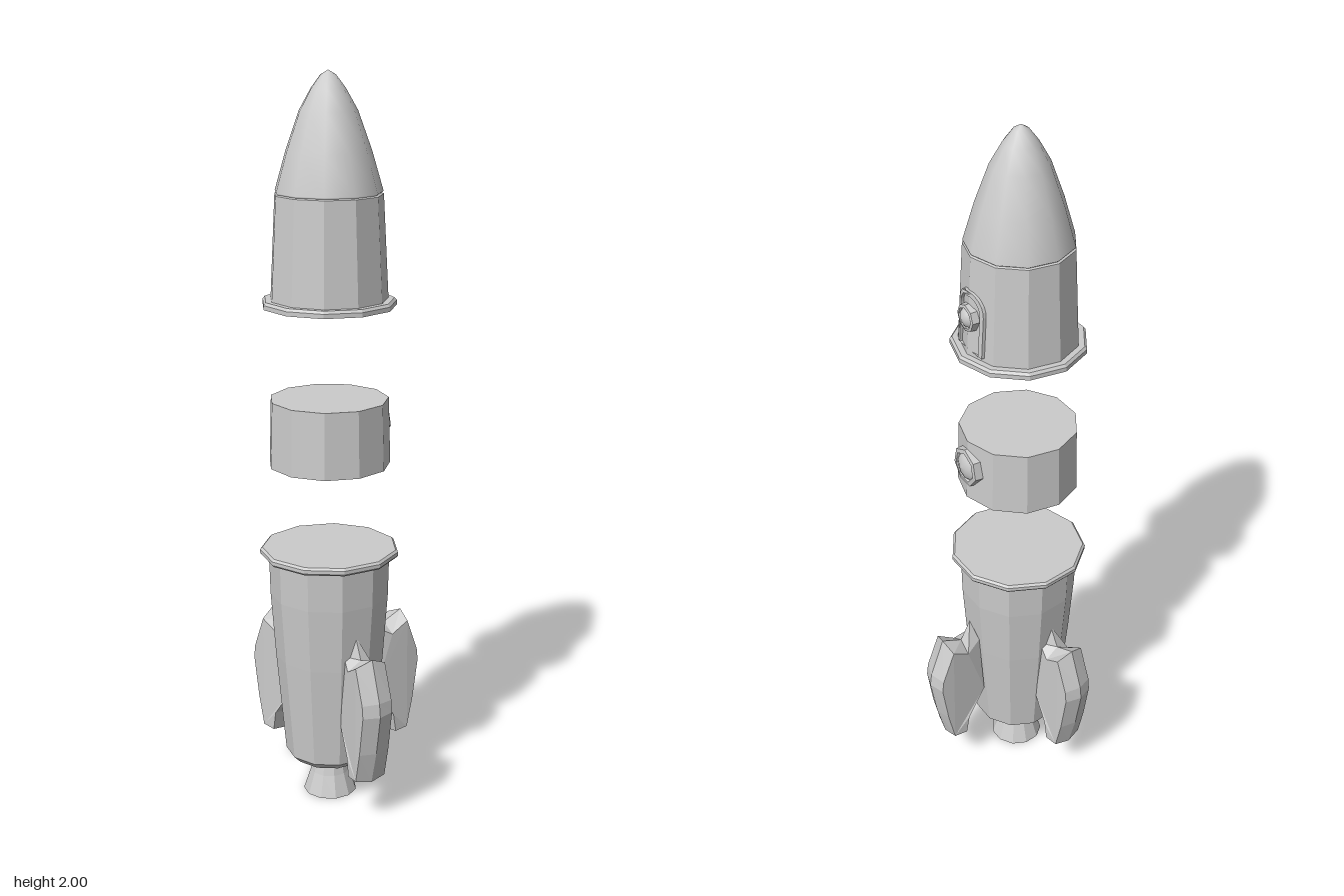
import * as THREE from 'three';

const SIDES = 11;
const AXIS_Z = 0.055;
const flat = new THREE.MeshStandardMaterial({ color: 0xcccccc, flatShading: true });
const smooth = new THREE.MeshStandardMaterial({ color: 0xcccccc });

const mesh = (name, geometry, material = flat) => {
  const m = new THREE.Mesh(geometry, material);
  m.name = name;
  return m;
};

// Faceted turned part; profile runs from bottom to top as [radius, y]
const turned = (name, profile, start = 0, sides = SIDES, material = flat) =>
  mesh(name, new THREE.LatheGeometry(
    profile.map(([r, y]) => new THREE.Vector2(r, y)), sides, start), material);

// Fin: side outline [r, y], ridge offset [dr, dy], thickness scale
function finGeometry() {
  const outline = [
    [0.12, 0.27, 0, 0, 0.8], [0.178, 0.185, 0, -0.005, 1], [0.187, 0.13, 0, -0.008, 1],
    [0.228, 0.133, 0.008, -0.008, 1], [0.248, 0.22, 0.013, 0, 1], [0.266, 0.335, 0.015, 0, 1],
    [0.262, 0.37, 0.014, 0.003, 1], [0.226, 0.465, 0.01, 0.02, 1], [0.175, 0.435, 0, 0.025, 0.9],
    [0.13, 0.46, 0.015, 0.06, 0.6],
  ];
  const n = outline.length;
  const half = 0.045;
  const positions = [];
  const index = [];
  for (const layer of [-1, 0, 1]) {
    for (const [r, y, dr, dy, t] of outline) {
      const ridge = layer === 0 ? 1 : 0;
      positions.push(r + dr * ridge, y + dy * ridge, layer * half * t);
    }
  }
  for (let l = 0; l < 2; l++) {
    for (let i = 0; i < n; i++) {
      const j = (i + 1) % n;
      const a = l * n + i, b = l * n + j;
      index.push(a, b, b + n, a, b + n, a + n);
    }
  }
  const contour = outline.map(([r, y]) => new THREE.Vector2(r, y));
  for (const [a, b, c] of THREE.ShapeUtils.triangulateShape(contour, [])) {
    index.push(a + 2 * n, b + 2 * n, c + 2 * n, c, b, a);
  }
  const g = new THREE.BufferGeometry();
  g.setAttribute('position', new THREE.Float32BufferAttribute(positions, 3));
  g.setIndex(index);
  g.computeVertexNormals();
  return g;
}

// Round window on the back: bevelled frame and domed glass, facing -z
function porthole(name, y, z, radius, sides) {
  const group = new THREE.Group();
  group.name = name;
  const frame = turned('windowFrame', [
    [radius * 1.05, -0.025], [radius, 0.007], [radius * 0.78, 0.009], [radius * 0.72, 0.002],
  ], 0, sides);
  const glass = turned('windowGlass', [
    [radius * 0.76, 0], [radius * 0.6, 0.009], [radius * 0.3, 0.015], [0, 0.017],
  ], 0, 10, smooth);
  group.add(frame, glass);
  group.rotation.x = -Math.PI / 2;
  group.position.set(0, y, z);
  return group;
}

// Arched door frame wrapped around the hull
function doorFrame() {
  const arch = (path, w, bottom, mid) => {
    path.moveTo(-w, bottom);
    path.lineTo(w, bottom);
    path.lineTo(w, mid);
    path.absarc(0, mid, w, 0, Math.PI, false);
    path.lineTo(-w, bottom);
    return path;
  };
  const shape = arch(new THREE.Shape(), 0.056, 1.43, 1.545);
  shape.holes.push(arch(new THREE.Path(), 0.044, 1.42 + 0.012, 1.545));
  const g = new THREE.ExtrudeGeometry(shape, { depth: 0.03, bevelEnabled: false, curveSegments: 6 });
  const p = g.attributes.position;
  for (let i = 0; i < p.count; i++) {
    const x = p.getX(i), y = p.getY(i);
    const hull = 0.157 - (y - 1.42) * 0.052;
    p.setZ(i, p.getZ(i) - 0.022 + hull - Math.abs(x) * 0.29);
  }
  g.computeVertexNormals();
  const m = mesh('doorFrame', g);
  m.rotation.y = Math.PI;
  return m;
}

export function createModel() {
  const model = new THREE.Group();
  const rocket = new THREE.Group();
  rocket.name = 'rocket';
  rocket.position.z = AXIS_Z;
  model.add(rocket);

  // Lower stage
  const lower = new THREE.Group();
  lower.name = 'lowerStage';
  lower.add(
    turned('engineNozzle', [[0, 0], [0.075, 0], [0.055, 0.06], [0.042, 0.115], [0, 0.115]]),
    turned('lowerHull', [[0, 0.11], [0.104, 0.11], [0.124, 0.13], [0.15, 0.42],
      [0.163, 0.6], [0.166, 0.717], [0, 0.717]]),
    turned('lowerRim', [[0, 0.713], [0.186, 0.713], [0.19, 0.718], [0.19, 0.728],
      [0.184, 0.734], [0, 0.734]]),
  );

  // Three fins: both sides and the back
  const fin = finGeometry();
  const tilt = Math.PI / 2 - (5 * Math.PI) / SIDES;
  const fins = [['leftFin', -tilt, 0], ['rightFin', Math.PI + tilt, 0], ['backFin', Math.PI / 2, -0.017]];
  for (const [name, angle, shift] of fins) {
    const m = mesh(name, fin);
    m.rotation.y = angle;
    m.position.z = shift;
    lower.add(m);
  }

  // Middle stage
  const middle = new THREE.Group();
  middle.name = 'middleStage';
  middle.add(
    turned('middleHull', [[0, 0.97], [0.165, 0.97], [0.16, 1.15], [0, 1.15]], Math.PI),
    porthole('middleWindow', 1.07, -0.162, 0.055, 7),
  );

  // Upper stage
  const upper = new THREE.Group();
  upper.name = 'upperStage';
  upper.add(
    turned('upperRim', [[0, 1.4], [0.179, 1.4], [0.179, 1.412], [0.173, 1.419], [0, 1.419]], Math.PI),
    turned('upperHull', [[0.157, 1.415], [0.143, 1.69], [0.137, 1.693]], Math.PI),
    turned('noseCone', [[0.137, 1.692], [0.142, 1.697], [0.112, 1.8], [0.076, 1.9],
      [0.045, 1.955], [0.02, 1.988], [0, 2]], Math.PI, SIDES, smooth),
    doorFrame(),
    porthole('doorWindow', 1.525, -0.154, 0.037, 8),
  );

  rocket.add(lower, middle, upper);
  return model;
}
